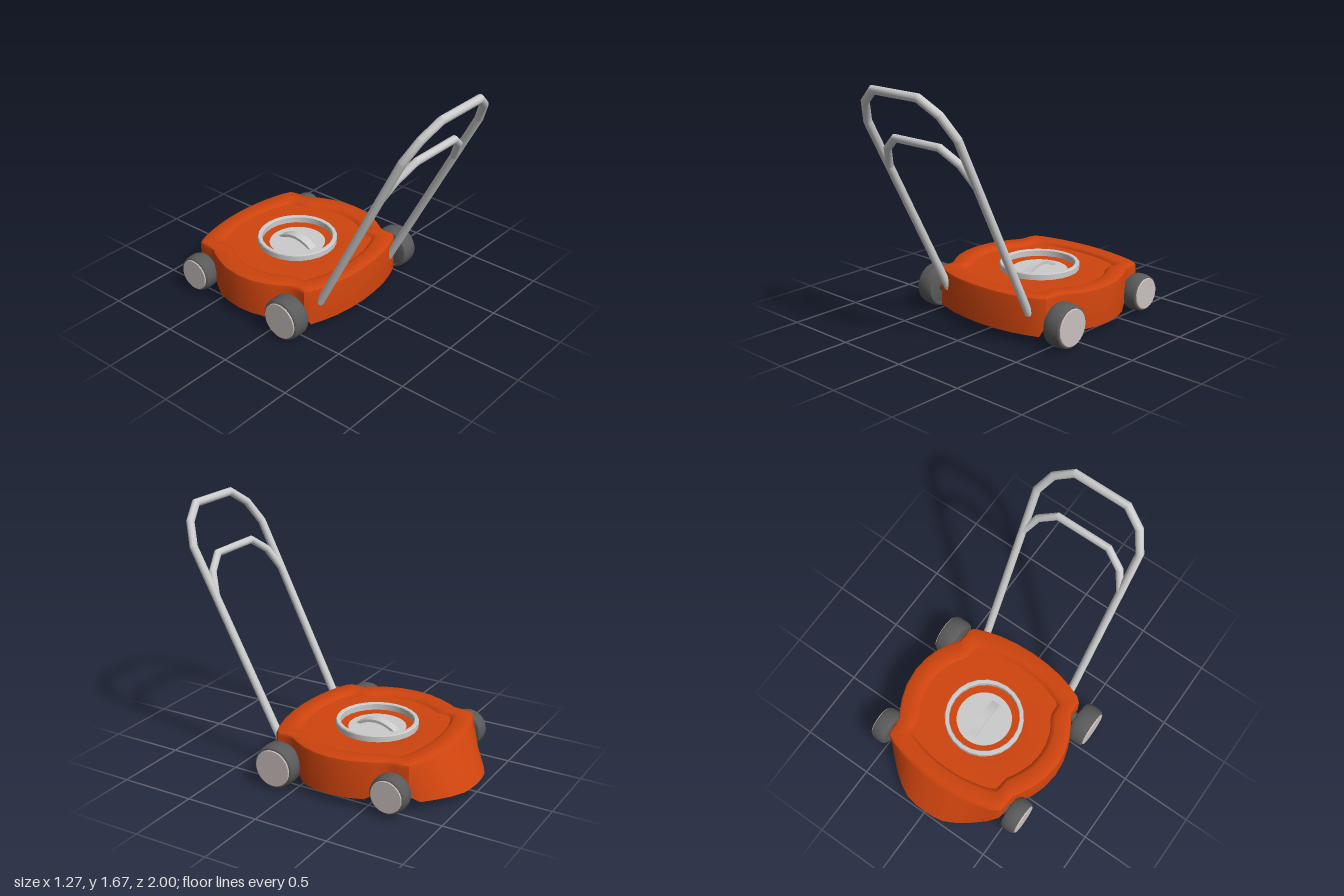
import * as THREE from 'three';
import { toCreasedNormals } from 'three/addons/utils/BufferGeometryUtils.js';

const paint = (color) => new THREE.MeshStandardMaterial({ color });
const grey = paint(0xcccccc);
const orange = paint(0xcf440e);
const rubber = paint(0x5a5a5a);
const hubGrey = paint(0xcac0be);
const DISC_Z = -0.28;

function part(name, geometry, material, parent) {
  const mesh = new THREE.Mesh(geometry, material);
  mesh.name = name;
  parent.add(mesh);
  return mesh;
}

// Skin through a list of closed rings with equal point counts
function loft(rings, crease, closed = true) {
  const n = rings[0].length, index = [];
  for (let r = 0; r + 1 < rings.length; r++) {
    for (let i = 0; i < (closed ? n : n - 1); i++) {
      const a = r * n + i, b = r * n + (i + 1) % n;
      index.push(a, a + n, b, b, a + n, b + n);
    }
  }
  const geo = new THREE.BufferGeometry();
  geo.setAttribute('position', new THREE.Float32BufferAttribute(rings.flat(2), 3));
  geo.setIndex(index);
  return toCreasedNormals(geo, crease);
}

// Deck outline at ground level, rear middle to front middle on the +x side
const half = [
  [0, -1], [0.08, -0.995], [0.15, -0.982], [0.24, -0.935], [0.32, -0.875], [0.4, -0.805],
  [0.455, -0.75], [0.468, -0.71], [0.47, -0.66], [0.478, -0.61], [0.505, -0.57], [0.545, -0.49],
  [0.58, -0.39], [0.595, -0.27], [0.585, -0.16], [0.555, -0.06], [0.51, 0.02], [0.47, 0.08],
  [0.463, 0.13], [0.465, 0.185], [0.435, 0.215], [0.34, 0.25], [0.25, 0.275], [0.13, 0.293], [0, 0.3],
];
const outline = [...half, ...half.slice(1, -1).reverse().map(([x, z]) => [-x, z])];

// One deck ring: the rear leans forward with height, scale insets it
function deckRing(y, scale = 1) {
  const t = (y - 0.06) / 0.26;
  return outline.map(([x, z]) => {
    const topZ = -0.83 + 0.07 * (x / 0.455) ** 2;
    const zz = z < topZ ? THREE.MathUtils.lerp(z, topZ, t) : z;
    return [x * scale, y, -0.27 + (zz + 0.27) * scale];
  });
}

function deckGeometry() {
  // Lower edge rises over each wheel
  const bottom = deckRing(0.06).map(([x, y, z]) => {
    const arch = (c, r, h) => Math.max(0, 1 - ((z - c) / r) ** 2) * h;
    const lift = Math.abs(x) > 0.44 ? arch(0.11, 0.15, 0.1) + arch(-0.66, 0.13, 0.09) : 0;
    return [x, y + lift, z];
  });
  const point = (y) => outline.map(() => [0, y, DISC_Z]);
  const circle = outline.map(([x, z]) => {
    const a = Math.atan2(z - DISC_Z, x);
    return [0.25 * Math.cos(a), 0.297, DISC_Z + 0.25 * Math.sin(a)];
  });
  return loft([
    point(0.06), bottom, deckRing(0.295), deckRing(0.311, 0.993), deckRing(0.32, 0.97),
    deckRing(0.32, 0.82), deckRing(0.31, 0.785), deckRing(0.297, 0.765), circle, point(0.26),
  ], 0.7);
}

// Mitred round bar through points in the XY plane
function barGeometry(points, radius, sides = 12) {
  const p = points.map(([x, y]) => new THREE.Vector2(x, y));
  const rings = p.map((c, i) => {
    const d1 = (i ? c.clone().sub(p[i - 1]) : p[1].clone().sub(c)).normalize();
    const d2 = (i < p.length - 1 ? p[i + 1].clone().sub(c) : d1.clone()).normalize();
    const t = d1.clone().add(d2).normalize();
    const r = radius / t.dot(d1);
    return Array.from({ length: sides }, (_, k) => {
      const a = -k / sides * Math.PI * 2;
      return [c.x - t.y * r * Math.cos(a), c.y + t.x * r * Math.cos(a), radius * Math.sin(a)];
    });
  });
  const cap = (c) => Array.from({ length: sides }, () => [c.x, c.y, 0]);
  return loft([cap(p[0]), ...rings, cap(p[p.length - 1])], 0.55);
}

function addHandle(model) {
  const handle = new THREE.Group();
  handle.name = 'pushHandle';
  const tilt = Math.atan(1 / 1.94);
  handle.position.set(0, 0.2, 0.227);
  handle.rotation.x = tilt;
  const path = (pts) => {
    const right = pts.map(([x, y]) => [x, (y - 0.2) / Math.cos(tilt)]);
    return [...right, ...right.slice().reverse().map(([x, y]) => [-x, y])];
  };
  part('handleFrame', barGeometry(path([[0.358, 0.2], [0.383, 1.42], [0.314, 1.56], [0.19, 1.65]]), 0.027), grey, handle);
  part('controlBar', barGeometry(path([[0.372, 1.12], [0.31, 1.25], [0.19, 1.338]]), 0.025), grey, handle);
  model.add(handle);
}

function addWheel(model, name, side, x0, x1, y, z, r) {
  const wheel = new THREE.Group();
  wheel.name = name;
  wheel.position.set(0, y, z);
  wheel.rotation.z = -side * Math.PI / 2;
  const lathe = (pts) => toCreasedNormals(
    new THREE.LatheGeometry(pts.map(([a, b]) => new THREE.Vector2(a, b)), 28), 0.6);
  part('tire', lathe([
    [0, x0 + 0.01], [r * 0.8, x0 + 0.01], [r * 0.84, x0], [r * 0.93, x0 + 0.005], [r * 0.985, x0 + 0.022],
    [r, x0 + 0.05], [r * 0.985, x1 - 0.035], [r * 0.94, x1 - 0.014], [r * 0.88, x1 - 0.008], [0, x1 - 0.008],
  ]), rubber, wheel);
  part('hubcap', lathe([
    [r * 0.85, x1 - 0.015], [r * 0.85, x1 - 0.004], [r * 0.82, x1], [0, x1],
  ]), hubGrey, wheel);
  const axle = part('axle', new THREE.CylinderGeometry(0.04, 0.04, x0 - 0.38, 20), rubber, wheel);
  axle.position.y = (x0 + 0.4) / 2;
  model.add(wheel);
}

function addStarter(model) {
  const starter = new THREE.Group();
  starter.name = 'starterCover';
  starter.position.z = DISC_Z;
  // Rimmed dish
  const dish = [[0.27, 0.28], [0.27, 0.333], [0.265, 0.34], [0.245, 0.34], [0.24, 0.335], [0.24, 0.288], [0, 0.288]];
  part('starterDish', toCreasedNormals(
    new THREE.LatheGeometry(dish.map(([a, b]) => new THREE.Vector2(a, b)), 24), 0.5), grey, starter);
  // Arched pull grip lying along z
  const arc = new THREE.Shape();
  arc.moveTo(-0.145, 0.286);
  arc.quadraticCurveTo(0, 0.392, 0.145, 0.286);
  arc.lineTo(0.115, 0.286);
  arc.quadraticCurveTo(0, 0.352, -0.115, 0.286);
  const geo = new THREE.ExtrudeGeometry(arc, { depth: 0.06, bevelEnabled: false, curveSegments: 10 });
  geo.translate(0, 0, -0.03).rotateY(Math.PI / 2);
  part('pullGrip', toCreasedNormals(geo, 0.5), grey, starter);
  model.add(starter);
}

export function createModel() {
  const model = new THREE.Group();
  model.name = 'lawnMower';
  part('deck', deckGeometry(), orange, model);
  addStarter(model);
  addHandle(model);
  for (const side of [1, -1]) {
    const label = side > 0 ? 'left' : 'right';
    addWheel(model, label + 'HandleSideWheel', side, 0.5, 0.633, 0.147, 0.122, 0.145);
    addWheel(model, label + 'FarWheel', side, 0.49, 0.607, 0.15, -0.672, 0.125);
  }
  return model;
}
